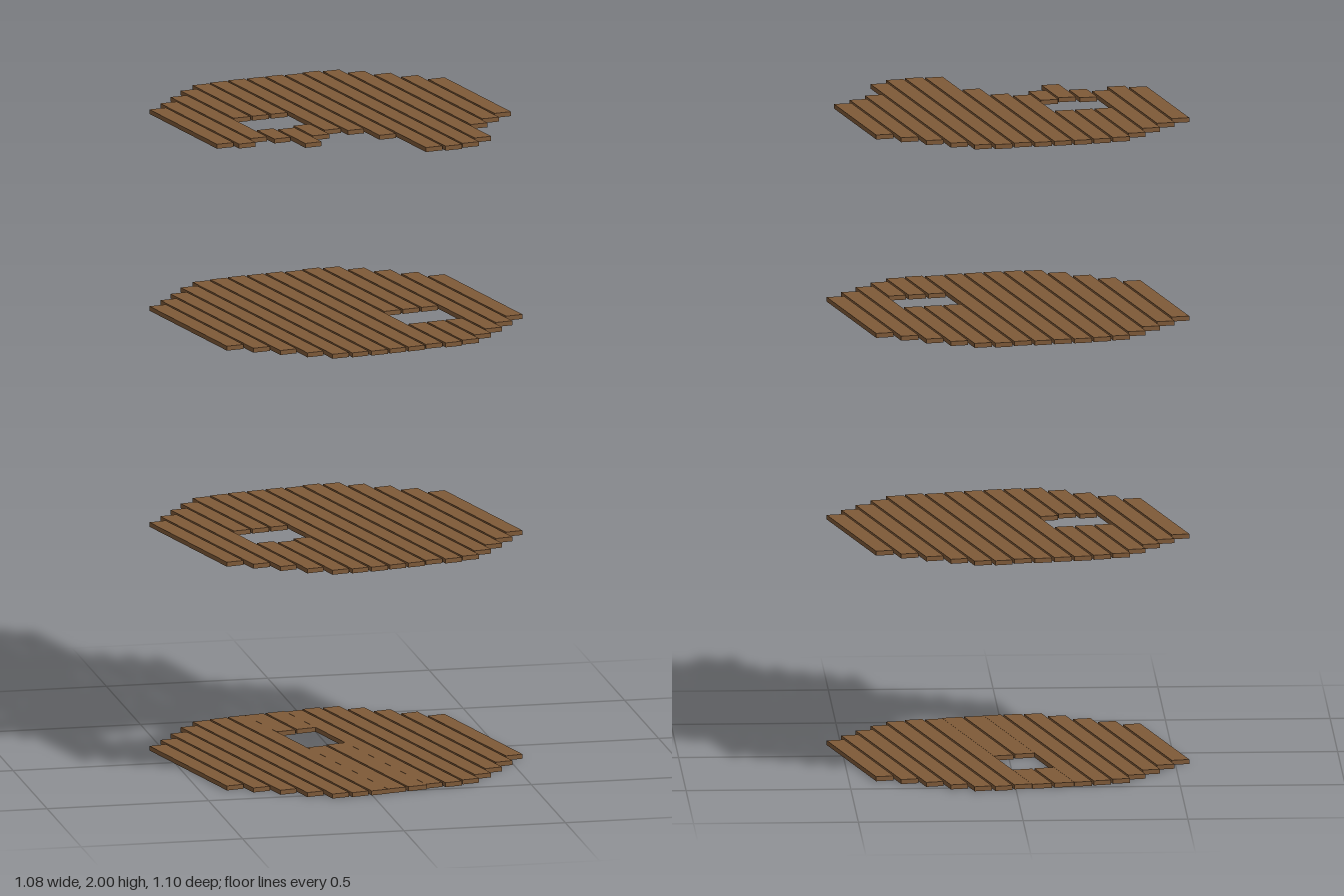
import * as THREE from 'three';

const ANGLE = THREE.MathUtils.degToRad(12.7); // plank direction
const PITCH = 0.062;   // distance between plank centres
const WIDTH = 0.0545;
const THICK = 0.014;

// half lengths of the sixteen planks, outlining a rough octagonal deck
const HALF = [0.282, 0.339, 0.4, 0.461, 0.51, 0.518, 0.522, 0.52,
  0.52, 0.512, 0.52, 0.509, 0.462, 0.406, 0.345, 0.284];

// front ends of the broken planks on the top deck
const BROKEN = { 0: 0.21, 1: 0.235, 2: 0.185, 3: 0.22, 4: 0.311, 5: 0.232,
  6: 0.181, 7: 0.214, 8: 0.31, 13: 0.3, 14: 0.248, 15: 0.2 };

// each deck: base height and the ladder opening as [start, end] per plank
const DECKS = [
  { name: 'lowestDeck', y: 0, widen: 0.007,
    hole: { 7: [-0.287, -0.066], 8: [-0.29, -0.075] } },
  { name: 'secondDeck', y: 0.698,
    hole: { 3: [-0.073, 0.095], 4: [-0.073, 0.112], 5: [-0.073, 0.09] } },
  { name: 'thirdDeck', y: 1.372,
    hole: { 10: [0.075, 0.25], 11: [0.075, 0.25], 12: [0.075, 0.25] } },
  { name: 'brokenTopDeck', y: 1.986, ends: BROKEN,
    hole: { 3: [-0.073, 0.095], 4: [-0.073, 0.112], 5: [-0.073, 0.09] } },
];

export function createModel() {
  const wood = new THREE.MeshStandardMaterial({ color: 0x7f5a38 });
  wood.name = 'brown wood';
  const model = new THREE.Group();
  model.name = 'plankDecks';

  for (const { name, y, hole, ends = {}, widen = 0 } of DECKS) {
    const deck = new THREE.Group();
    deck.name = name;
    deck.position.y = y;
    deck.rotation.y = ANGLE;

    // one board from z0 to z1
    const addPlank = (x, width, z0, z1) => {
      const plank = new THREE.Mesh(new THREE.BoxGeometry(width, THICK, z1 - z0), wood);
      plank.name = 'plank';
      plank.position.set(x, THICK / 2, (z0 + z1) / 2);
      deck.add(plank);
    };

    HALF.forEach((half, i) => {
      const x = (i - 7.5) * PITCH;
      const end = ends[i] ?? half;
      const gap = hole[i];
      if (!gap) return addPlank(x, WIDTH, -half, end);
      // boards interrupted by the opening, slightly wider on the outer side
      const cutX = x + Math.sign(x) * widen / 2;
      addPlank(cutX, WIDTH + widen, -half, gap[0]);
      addPlank(cutX, WIDTH + widen, gap[1], end);
    });
    model.add(deck);
  }
  return model;
}
